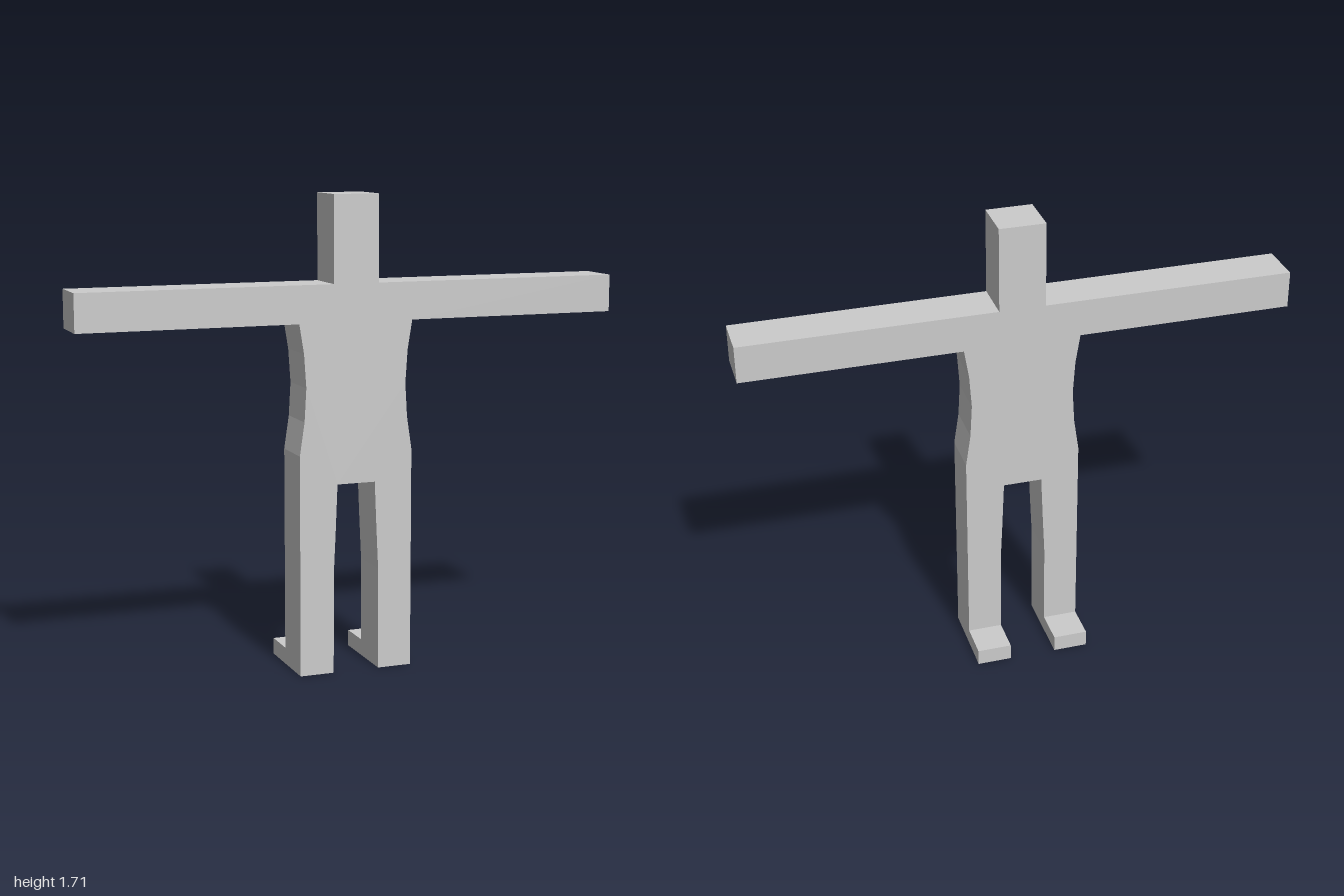
import * as THREE from 'three';

const BACK = -0.017, FRONT = 0.15;

export function createModel() {
  const group = new THREE.Group();
  group.name = 'figure';
  const material = new THREE.MeshStandardMaterial({ color: 0xcccccc, flatShading: true });

  // Left half of the outline, from the crotch round the leg, waist and arm to the head
  const half = [
    [0.071, 0.69], [0.078, 0.52], [0.085, 0.37], [0.086, 0],
    [0.212, 0], [0.212, 0.8],
    [0.194, 0.92], [0.187, 1.04], [0.195, 1.16], [0.212, 1.265],
    [1, 1.265], [1, 1.4], [0.084, 1.4], [0.084, 1.71],
  ];
  const mirrored = half.map(([x, y]) => [-x, y]).reverse();
  const outline = new THREE.Shape([...half, ...mirrored].map(([x, y]) => new THREE.Vector2(x, y)));

  // Flat body with head, arms and legs in one slab
  const bodyGeometry = new THREE.ExtrudeGeometry(outline, { depth: FRONT - BACK, bevelEnabled: false });
  bodyGeometry.translate(0, 0, BACK);
  const body = new THREE.Mesh(bodyGeometry, material);
  body.name = 'body';
  group.add(body);

  // Feet reaching out behind the legs
  const footDepth = BACK + 0.15;
  for (const side of [1, -1]) {
    const foot = new THREE.Mesh(new THREE.BoxGeometry(0.126, 0.06, footDepth), material);
    foot.position.set(side * 0.149, 0.03, BACK - footDepth / 2);
    foot.name = side > 0 ? 'leftFoot' : 'rightFoot';
    group.add(foot);
  }
  return group;
}
